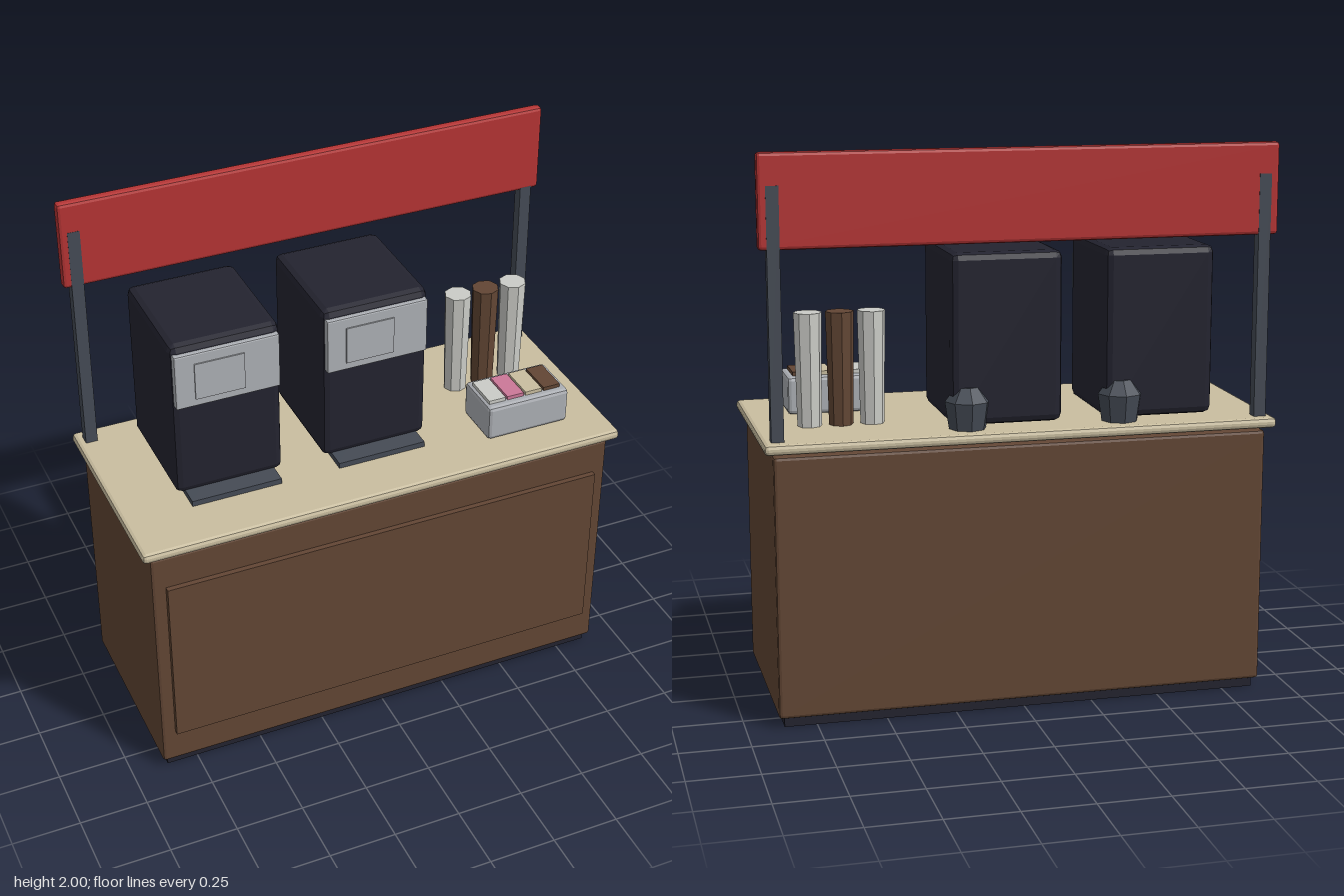
import * as THREE from 'three';
import { RoundedBoxGeometry } from 'three/addons/geometries/RoundedBoxGeometry.js';

export function createModel() {
  const root = new THREE.Group();
  root.name = 'drinkStand';

  const colours = {
    wood: 0x624634, counter: 0xcabea0, red: 0xb43434, dark: 0x23232f, slate: 0x454b55,
    silver: 0xacafb4, white: 0xcbccc7, pink: 0xcc7898,
  };
  const mats = {};
  for (const [name, hex] of Object.entries(colours)) {
    mats[name] = new THREE.MeshStandardMaterial({ color: hex });
    mats[name].name = name;
  }

  function add(parent, name, geo, mat, x = 0, y = 0, z = 0) {
    const mesh = new THREE.Mesh(geo, mats[mat]);
    mesh.name = name;
    mesh.position.set(x, y, z);
    parent.add(mesh);
    return mesh;
  }

  // Box given by its extents, with an optional faceted bevel
  function block(parent, name, mat, [x0, x1], [y0, y1], [z0, z1], bevel = 0) {
    const size = [x1 - x0, y1 - y0, z1 - z0];
    const geo = bevel ? new RoundedBoxGeometry(...size, 1, bevel) : new THREE.BoxGeometry(...size);
    if (bevel) geo.computeVertexNormals();
    return add(parent, name, geo, mat, (x0 + x1) / 2, (y0 + y1) / 2, (z0 + z1) / 2);
  }

  // Faceted solid of revolution
  function turned(profile, sides) {
    const geo = new THREE.LatheGeometry(profile.map(p => new THREE.Vector2(...p)), sides).toNonIndexed();
    geo.computeVertexNormals();
    return geo;
  }

  // Counter
  block(root, 'plinth', 'dark', [-0.865, 0.865], [0, 0.06], [-0.343, 0.343]);
  block(root, 'cabinet', 'wood', [-0.886, 0.886], [0.035, 0.972], [-0.365, 0.365], 0.012);
  block(root, 'frontPanel', 'wood', [-0.835, 0.835], [0.17, 0.84], [0.355, 0.385]);
  block(root, 'countertop', 'counter', [-0.918, 0.918], [0.985, 1.022], [-0.397, 0.397], 0.014);

  // Sign board on two posts; the left-hand post stands slightly proud of it
  block(root, 'signBoard', 'red', [-0.918, 0.918], [1.675, 2], [-0.353, -0.313], 0.012);
  block(root, 'rightPost', 'slate', [-0.889, -0.845], [1.015, 1.89], [-0.354, -0.312]);
  block(root, 'leftPost', 'slate', [0.845, 0.889], [1.015, 1.89], [-0.354, -0.314]);

  // Two drink machines, each with a jug behind it
  const jugProfile = [[0, 0], [0.066, 0], [0.081, 0.1], [0.042, 0.15], [0, 0.15]];
  for (const x of [-0.5, 0.055]) {
    const machine = new THREE.Group();
    machine.name = 'drinkMachine';
    machine.position.x = x;
    root.add(machine);
    block(machine, 'machineBody', 'dark', [-0.2, 0.2], [1.034, 1.64], [-0.315, 0.132], 0.026);
    block(machine, 'machineFascia', 'silver', [-0.19, 0.19], [1.4, 1.61], [0.12, 0.15], 0.006);
    block(machine, 'fasciaPlate', 'silver', [-0.12, 0.06], [1.43, 1.57], [0.148, 0.155]);
    block(machine, 'dripTray', 'slate', [-0.167, 0.167], [1.02, 1.043], [-0.2, 0.198]);
    add(machine, 'jug', turned(jugProfile, 8), 'slate', 0.137, 1.02, -0.285);
  }

  // Cup stacks
  ['white', 'wood', 'white'].forEach((mat, i) => {
    const geo = turned([[0, 0], [0.043, 0], [0.05, 0.405], [0, 0.405]], 8);
    add(root, 'cupStack', geo, mat, 0.497 + i * 0.112, 1.02, -0.113);
  });

  // Condiment box with coloured sachets
  block(root, 'condimentBox', 'silver', [0.447, 0.771], [1.024, 1.16], [0.064, 0.262], 0.014);
  ['white', 'pink', 'counter', 'wood'].forEach((mat, i) => {
    const x = 0.494 + i * 0.0735;
    block(root, 'sachets', mat, [x - 0.033, x + 0.033], [1.14, 1.174], [0.096, 0.232]);
  });

  return root;
}
